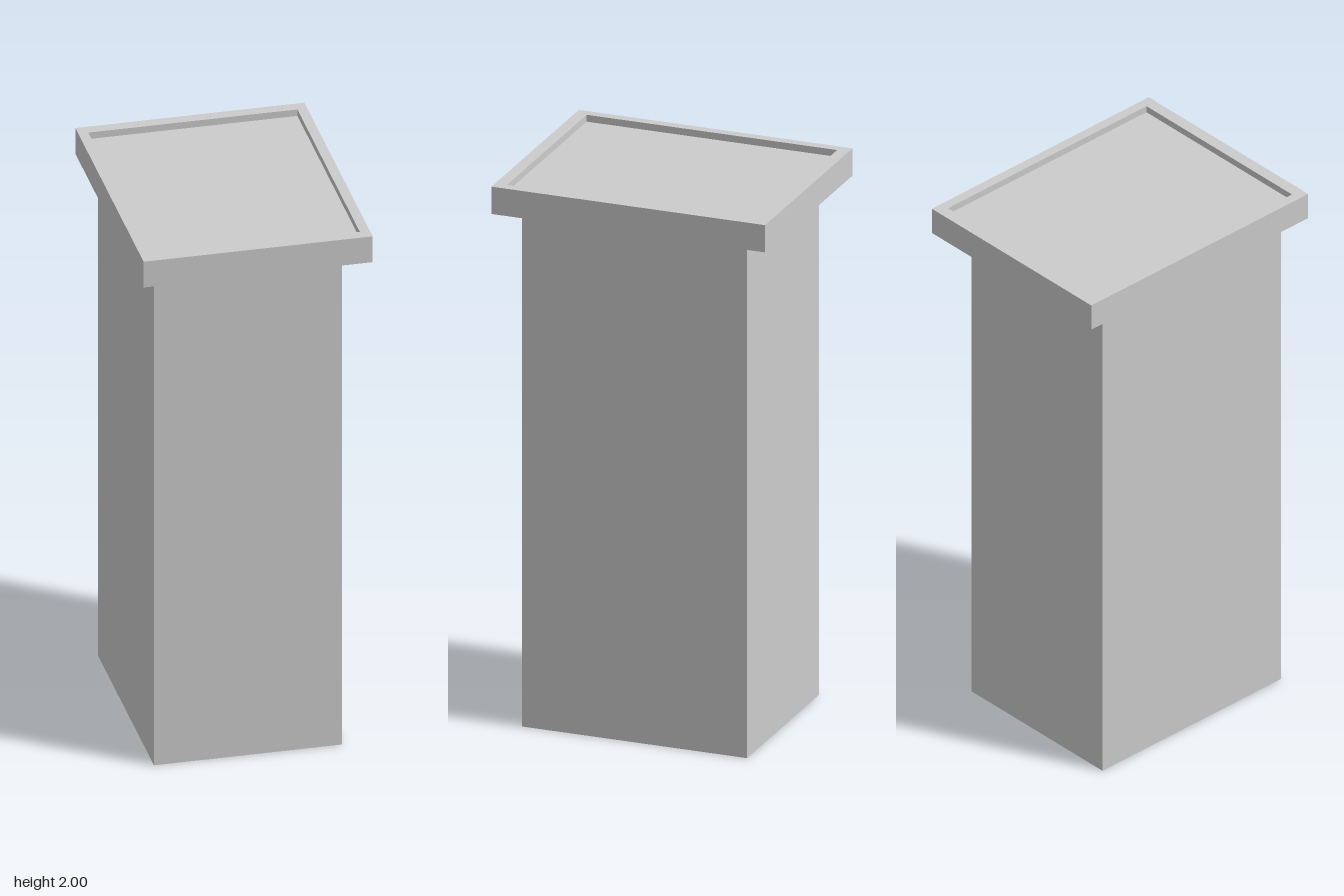
import * as THREE from 'three';

const material = new THREE.MeshStandardMaterial({ color: 0xcccccc, flatShading: true });

// Box given by its lower and upper corners
function box(name, [x0, y0, z0], [x1, y1, z1]) {
  const mesh = new THREE.Mesh(new THREE.BoxGeometry(x1 - x0, y1 - y0, z1 - z0), material);
  mesh.position.set((x0 + x1) / 2, (y0 + y1) / 2, (z0 + z1) / 2);
  mesh.name = name;
  return mesh;
}

// Rectangle outline around the origin
function rectangle(target, halfX, halfZ) {
  target.moveTo(-halfX, -halfZ);
  target.lineTo(halfX, -halfZ);
  target.lineTo(halfX, halfZ);
  target.lineTo(-halfX, halfZ);
  target.closePath();
  return target;
}

export function createModel() {
  const model = new THREE.Group();
  model.name = 'pedestal';
  const capBottom = 1.9, capTop = 2, recess = 0.025;
  const innerX = 0.369, innerZ = 0.463;

  // Slightly off-centre column
  model.add(box('column', [-0.349, 0, -0.403], [0.314, capBottom, 0.429]));

  // Cap rim, a frame extruded upwards
  const outline = rectangle(new THREE.Shape(), 0.404, 0.506);
  outline.holes.push(rectangle(new THREE.Path(), innerX, innerZ));
  const rimGeometry = new THREE.ExtrudeGeometry(outline, { depth: capTop - capBottom, bevelEnabled: false });
  rimGeometry.rotateX(-Math.PI / 2);
  const rim = new THREE.Mesh(rimGeometry, material);
  rim.position.y = capBottom;
  rim.name = 'capRim';
  model.add(rim);

  // Sunken panel filling the rim
  model.add(box('capPanel', [-innerX, capBottom, -innerZ], [innerX, capTop - recess, innerZ]));

  return model;
}
